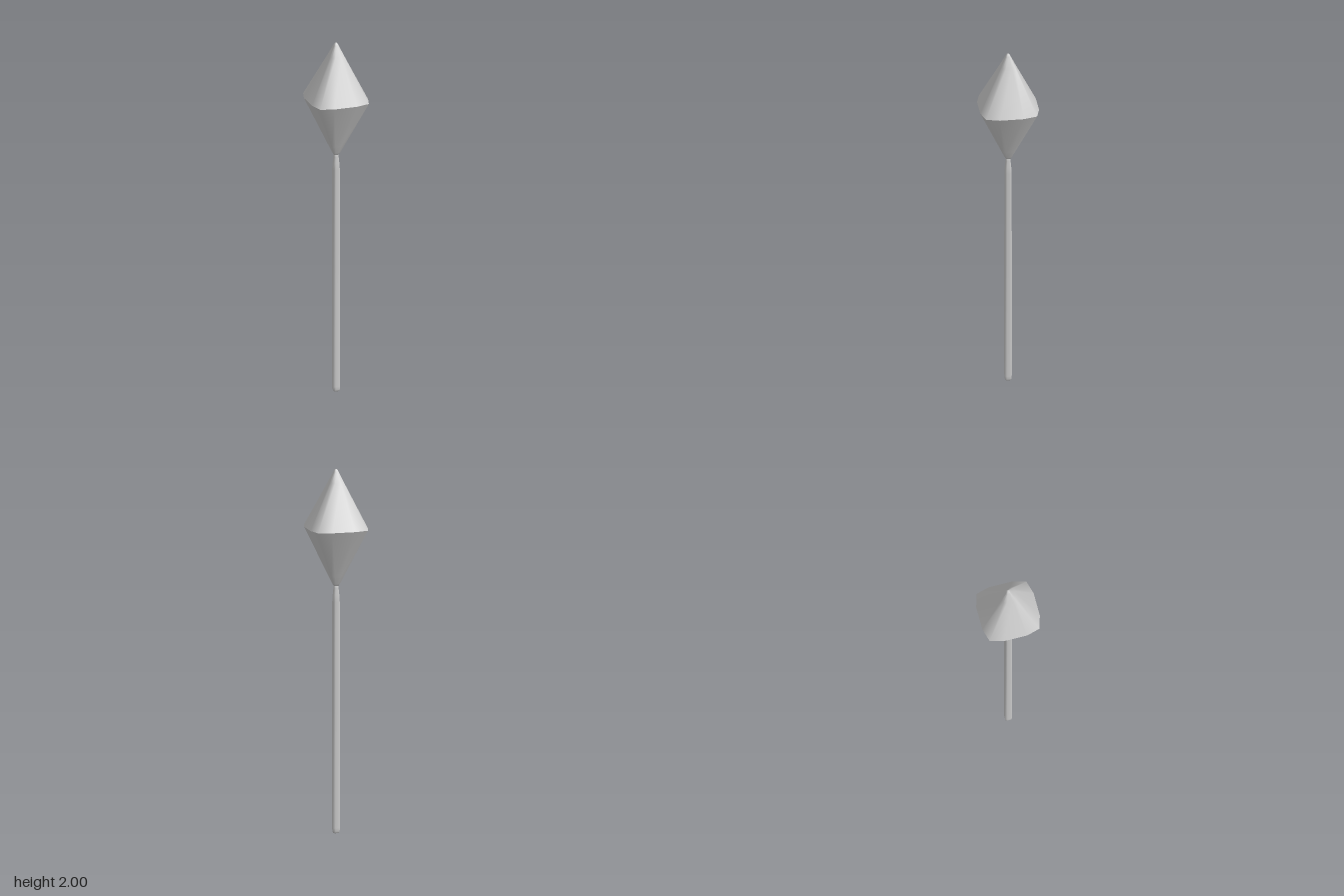
import * as THREE from 'three';

// Rounded-square cross-section with 12 corners, half-width 1
const quarter = [[1, -0.41], [1, 0.41], [0.87, 0.87]];
const section = [];
for (let q = 0; q < 4; q++) {
  const c = Math.round(Math.cos(q * Math.PI / 2)), s = Math.round(Math.sin(q * Math.PI / 2));
  for (const [x, z] of quarter) section.push([x * c - z * s, x * s + z * c]);
}

// Smooth loft through [halfWidth, y] rings from bottom to top, with optional end points
function loft(rings, bottomY, topY) {
  const n = section.length, positions = [], indices = [];
  for (const [w, y] of rings) for (const [x, z] of section) positions.push(x * w, y, z * w);
  for (let r = 0; r < rings.length - 1; r++) {
    for (let i = 0; i < n; i++) {
      const a = r * n + i, b = r * n + (i + 1) % n;
      indices.push(a, a + n, b, b, a + n, b + n);
    }
  }
  const cap = (y, start, up) => {
    const centre = positions.length / 3;
    positions.push(0, y, 0);
    for (let i = 0; i < n; i++) {
      const a = start + i, b = start + (i + 1) % n;
      if (up) indices.push(a, centre, b);
      else indices.push(a, b, centre);
    }
  };
  if (bottomY !== undefined) cap(bottomY, 0, false);
  if (topY !== undefined) cap(topY, (rings.length - 1) * n, true);
  const geometry = new THREE.BufferGeometry();
  geometry.setAttribute('position', new THREE.Float32BufferAttribute(positions, 3));
  geometry.setIndex(indices);
  geometry.computeVertexNormals();
  return geometry;
}

export function createModel() {
  const group = new THREE.Group();
  const material = new THREE.MeshStandardMaterial({ color: 0xcccccc });
  const add = (name, geometry, parent) => {
    const mesh = new THREE.Mesh(geometry, material);
    mesh.name = name;
    parent.add(mesh);
  };

  // Long shaft with a rounded foot and a narrowed neck
  add('shaft', loft([
    [0.0145, 0.002], [0.0185, 0.012], [0.0195, 0.03], [0.0195, 0.7],
    [0.019, 1.27], [0.0165, 1.31], [0.013, 1.345], [0.012, 1.37],
  ], 0, 1.372), group);

  // Double-pyramid head with a sharp edge around its middle
  const head = new THREE.Group();
  head.name = 'head';
  group.add(head);
  add('headLower', loft([[0.012, 1.358], [0.02, 1.371], [0.04, 1.415], [0.16, 1.678]], 1.356), head);
  add('headUpper', loft([[0.16, 1.678], [0.04, 1.926], [0.013, 1.984], [0.007, 1.996]], undefined, 2), head);

  return group;
}
